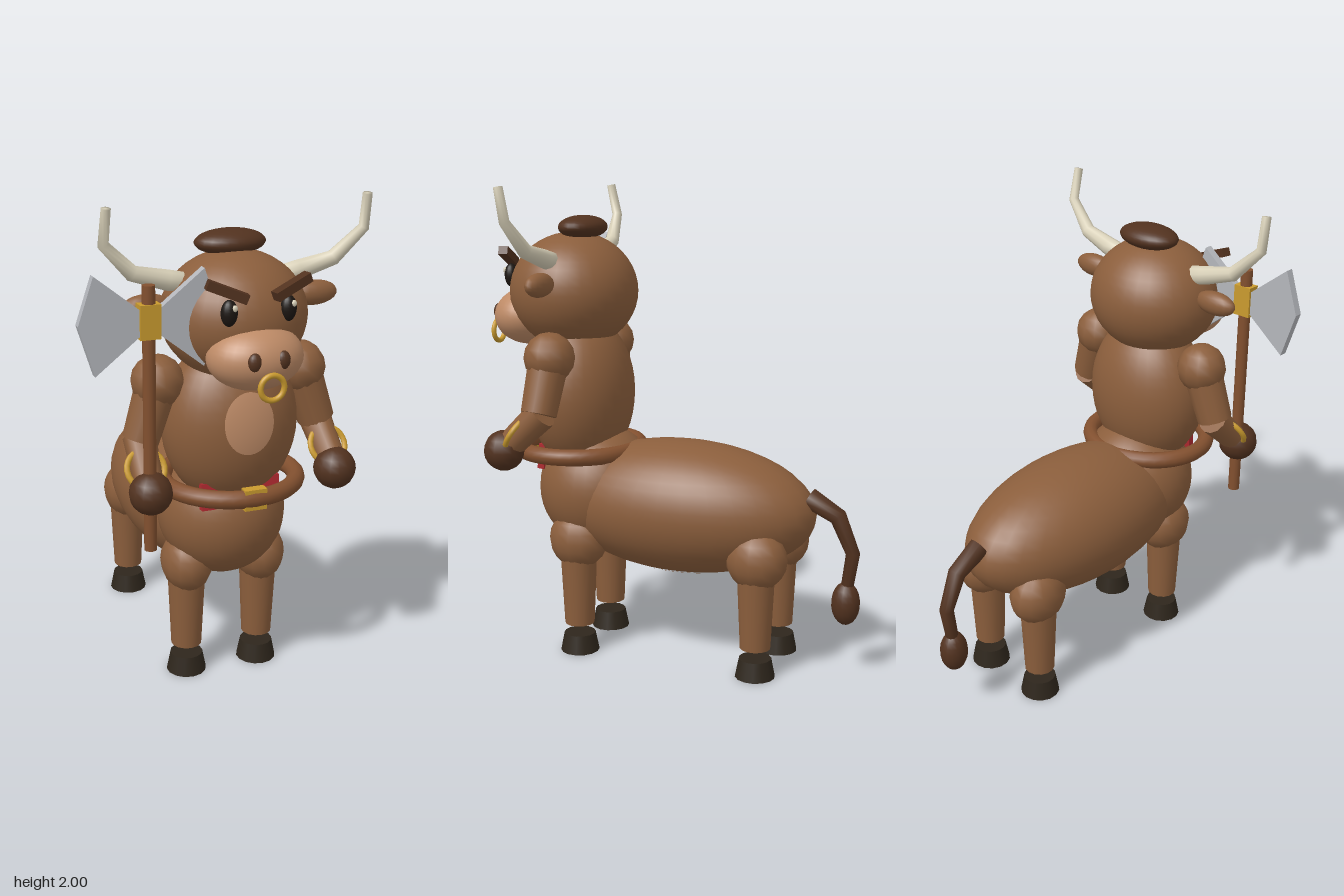
import * as THREE from 'three';

const COLORS = {
  fur: 0x8b5e3c, tan: 0xbd8a66, darkBrown: 0x52321f, leather: 0x82502f, gold: 0xc99a2e,
  ivory: 0xd8d0b8, steel: 0xb4b6bb, hoof: 0x2e261c, black: 0x1c1612, red: 0xb02a30,
};

export function createModel() {
  const mat = {};
  for (const [name, color] of Object.entries(COLORS)) {
    mat[name] = new THREE.MeshStandardMaterial({ color });
    mat[name].name = name;
  }
  const V = (x, y, z) => new THREE.Vector3(x, y, z);
  const body = new THREE.Group();
  body.name = 'bullCentaur';
  body.position.x = 0.058;

  function add(name, geo, material, x = 0, y = 0, z = 0, rx = 0, ry = 0, rz = 0) {
    const m = new THREE.Mesh(geo, material);
    m.name = name;
    m.position.set(x, y, z);
    m.rotation.set(rx, ry, rz);
    body.add(m);
    return m;
  }
  // Ellipsoid from centre and radii
  const ball = (name, material, c, r, seg = 32) =>
    add(name, new THREE.SphereGeometry(1, seg, Math.round(seg * 0.7)).scale(...r), material, ...c);
  // Round cap lying just over an ellipsoid, turned about x away from the top
  const patch = (name, material, c, r, angle, turn) =>
    add(name, new THREE.SphereGeometry(1.012, 32, 8, 0, Math.PI * 2, 0, angle).rotateX(turn).scale(...r), material, ...c);
  // Tapered cylinder between two points
  function limb(name, material, a, b, ra, rb, seg = 14) {
    const d = b.clone().sub(a);
    const m = add(name, new THREE.CylinderGeometry(rb, ra, d.length(), seg), material);
    m.position.copy(a).addScaledVector(d, 0.5);
    m.quaternion.setFromUnitVectors(V(0, 1, 0), d.normalize());
    return m;
  }
  // Tapered tube through points [Vector3, radius], closed at both ends
  function taper(name, material, pts, ref, n = 10) {
    const pos = [], idx = [], last = pts.length - 1;
    const ring = (i, scale) => {
      const t = pts[Math.min(i + 1, last)][0].clone().sub(pts[Math.max(i - 1, 0)][0]).normalize();
      const u = ref.clone().cross(t).normalize();
      const v = t.clone().cross(u);
      for (let j = 0; j < n; j++) {
        const a = (j / n) * Math.PI * 2, r = pts[i][1] * scale;
        const p = pts[i][0].clone().addScaledVector(u, Math.cos(a) * r).addScaledVector(v, Math.sin(a) * r);
        pos.push(p.x, p.y, p.z);
      }
    };
    ring(0, 0);
    pts.forEach((_, i) => ring(i, 1));
    ring(last, 0);
    for (let i = 0; i < pts.length + 1; i++) {
      for (let j = 0; j < n; j++) {
        const a = i * n + j, b = i * n + (j + 1) % n;
        idx.push(a, b, a + n, b, b + n, a + n);
      }
    }
    const g = new THREE.BufferGeometry();
    g.setAttribute('position', new THREE.Float32BufferAttribute(pos, 3));
    g.setIndex(idx);
    g.computeVertexNormals();
    return add(name, g, material);
  }

  // Trunk
  const barrelC = [0, 0.66, -0.05], barrelR = [0.305, 0.284, 0.59];
  const torsoC = [0, 1.12, 0.42], torsoR = [0.278, 0.34, 0.22];
  ball('barrel', mat.fur, barrelC, barrelR);
  patch('bellyPatch', mat.tan, barrelC, barrelR, 0.45, Math.PI);
  ball('foreBody', mat.fur, [0, 0.71, 0.34], [0.264, 0.27, 0.262]);
  ball('torso', mat.fur, torsoC, torsoR);
  patch('chestPatch', mat.tan, torsoC, torsoR, 0.37, Math.PI / 2 - 0.15);

  // Belt, buckle and loincloth
  add('belt', new THREE.TorusGeometry(0.27, 0.036, 12, 40).rotateX(Math.PI / 2).scale(1, 1, 0.945), mat.leather, 0, 0.884, 0.43);
  add('buckle', new THREE.BoxGeometry(0.09, 0.084, 0.04), mat.gold, 0, 0.884, 0.685);
  add('loincloth', new THREE.BoxGeometry(0.33, 0.11, 0.03), mat.red, 0, 0.855, 0.54, -0.1);

  // Head, muzzle and nose ring
  ball('head', mat.fur, [0, 1.56, 0.45], [0.287, 0.25, 0.272]);
  ball('muzzle', mat.tan, [0, 1.447, 0.66], [0.188, 0.126, 0.15]);
  ball('hairTuft', mat.darkBrown, [0, 1.83, 0.405], [0.143, 0.05, 0.095], 24);
  add('noseRing', new THREE.TorusGeometry(0.047, 0.011, 10, 28), mat.gold, 0, 1.372, 0.825);

  for (const s of [-1, 1]) {
    // Face
    ball('nostril', mat.darkBrown, [s * 0.056, 1.462, 0.79], [0.028, 0.036, 0.022], 16);
    ball('eye', mat.black, [s * 0.117, 1.627, 0.69], [0.032, 0.05, 0.028], 18);
    ball('eyeGlint', mat.ivory, [s * 0.117 + 0.013, 1.648, 0.712], [0.011, 0.013, 0.008], 10);
    add('eyebrow', new THREE.BoxGeometry(0.16, 0.036, 0.04), mat.darkBrown, s * 0.128, 1.708, 0.695, 0, s * 0.2, s * 0.38);
    ball('ear', mat.fur, [s * 0.345, 1.61, 0.435], [0.1, 0.05, 0.043], 16);
    taper('horn', mat.ivory, [
      [V(s * 0.18, 1.69, 0.45), 0.04], [V(s * 0.27, 1.71, 0.45), 0.04], [V(s * 0.41, 1.748, 0.46), 0.031],
      [V(s * 0.525, 1.865, 0.485), 0.022], [V(s * 0.52, 2.0, 0.512), 0.019],
    ], V(0, 0, 1));

    // Arms
    const shoulder = V(s * 0.3, 1.31, 0.42), elbow = V(s * 0.375, 1.085, 0.435), wrist = V(s * 0.388, 0.925, 0.593);
    ball('shoulder', mat.fur, shoulder.toArray(), [0.106, 0.106, 0.106], 12);
    limb('upperArm', mat.fur, shoulder, elbow, 0.085, 0.075, 12);
    limb('forearm', mat.fur, V(s * 0.375, 1.09, 0.42), wrist, 0.066, 0.056, 12);
    add('bracelet', new THREE.TorusGeometry(0.075, 0.012, 8, 24), mat.gold, s * 0.386, 1.0, 0.53, -0.55);
    ball('hand', mat.darkBrown, wrist.toArray(), [0.085, 0.085, 0.085], 14);

    // Legs
    for (const [label, z] of [['front', 0.37], ['rear', -0.437]]) {
      ball(label + 'Thigh', mat.fur, [s * 0.16, 0.505, z], [0.106, 0.128, 0.13], 14);
      limb(label + 'Leg', mat.fur, V(s * 0.16, 0.125, z), V(s * 0.16, 0.47, z), 0.064, 0.08);
      limb(label + 'Hoof', mat.hoof, V(s * 0.16, 0, z), V(s * 0.16, 0.08, z), 0.084, 0.068);
    }
  }

  // Tail
  taper('tail', mat.darkBrown, [
    [V(0, 0.745, -0.61), 0.045], [V(0, 0.675, -0.735), 0.038],
    [V(0, 0.525, -0.8), 0.03], [V(0, 0.37, -0.778), 0.026],
  ], V(1, 0, 0));
  ball('tailTuft', mat.darkBrown, [0, 0.31, -0.775], [0.057, 0.092, 0.06], 16);

  // Double-bladed axe held in the right hand
  const ax = -0.388, az = 0.584;
  limb('axeHandle', mat.leather, V(ax, 0.687, az), V(ax, 1.73, az), 0.025, 0.025, 12);
  add('axeCollar', new THREE.BoxGeometry(0.08, 0.13, 0.054), mat.gold, ax, 1.597, az);
  for (const s of [-1, 1]) {
    const outline = [[0.03, 0.04], [0.21, 0.183], [0.27, 0.005], [0.21, -0.187], [0.03, -0.045]];
    const shape = new THREE.Shape(outline.map(([x, y]) => new THREE.Vector2(s * x, y)));
    add('axeBlade', new THREE.ExtrudeGeometry(shape, { depth: 0.034, bevelEnabled: false }), mat.steel, ax, 1.597, az - 0.017);
  }

  const model = new THREE.Group();
  model.name = 'model';
  model.add(body);
  return model;
}
